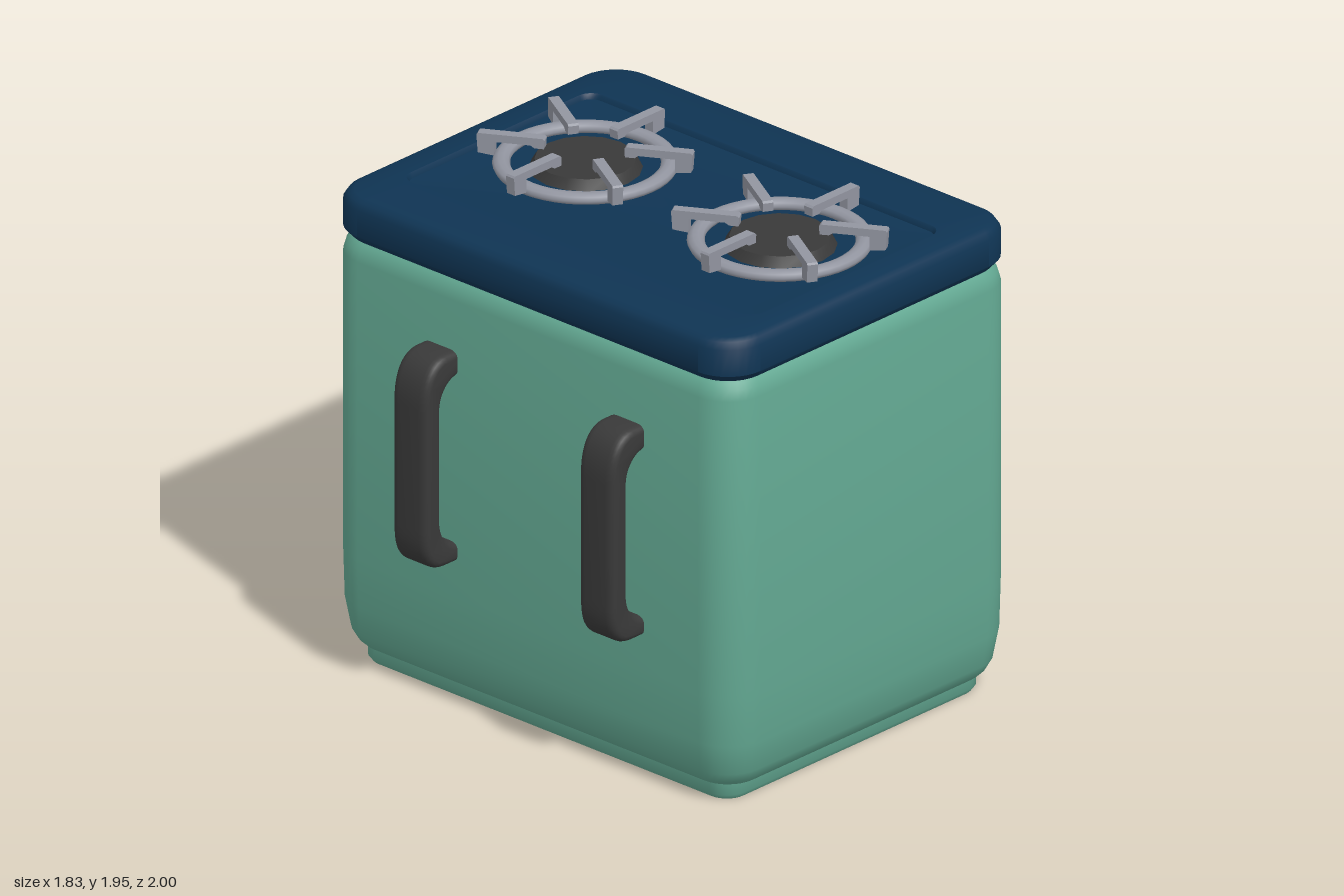
import * as THREE from 'three';
import { toCreasedNormals } from 'three/addons/utils/BufferGeometryUtils.js';

const paint = (name, color) => {
  const m = new THREE.MeshStandardMaterial({ color });
  m.name = name;
  return m;
};

// Closed loft through rounded rectangles; section = [y, halfX, halfZ, cornerRadius, centreX]
function loft(sections, steps = 8) {
  const pos = [], index = [], n = 4 * (steps + 1);
  for (const [y, hx, hz, r, cx = 0] of sections) {
    for (let c = 0; c < 4; c++) {
      const sx = c === 0 || c === 3 ? 1 : -1, sz = c < 2 ? 1 : -1;
      for (let s = 0; s <= steps; s++) {
        const a = (c + s / steps) * Math.PI / 2;
        pos.push(cx + sx * (hx - r) + r * Math.cos(a), y, sz * (hz - r) + r * Math.sin(a));
      }
    }
  }
  const last = sections.length - 1;
  for (let i = 0; i < last; i++) {
    for (let j = 0; j < n; j++) {
      const k = (j + 1) % n, a = i * n + j, b = i * n + k;
      index.push(a, a + n, b, b, a + n, b + n);
    }
  }
  const [s0, s1] = [sections[0], sections[last]];
  pos.push(s0[4] || 0, s0[0], 0, s1[4] || 0, s1[0], 0);
  const o = (last + 1) * n;
  for (let j = 0; j < n; j++) {
    const k = (j + 1) % n;
    index.push(o, j, k, o + 1, last * n + k, last * n + j);
  }
  const g = new THREE.BufferGeometry();
  g.setAttribute('position', new THREE.Float32BufferAttribute(pos, 3));
  g.setIndex(index);
  return toCreasedNormals(g, 0.7);
}

export function createModel() {
  const green = paint('green enamel', 0x62a791);
  const navy = paint('navy enamel', 0x0f3453);
  const charcoal = paint('charcoal', 0x393939);
  const silver = paint('grate silver', 0x9295a0);
  const gold = paint('knob gold', 0xbb8f1a);
  const mauve = paint('spot mauve', 0x92868f);

  const model = new THREE.Group();
  model.name = 'stove';
  const add = (parent, name, geometry, material, x = 0, y = 0, z = 0) => {
    const m = new THREE.Mesh(geometry, material);
    m.name = name;
    m.position.set(x, y, z);
    parent.add(m);
    return m;
  };
  const inset = (y, d) => [y, 0.765 - d, 1 - d, 0.16 - d * 0.6, 0.015];

  // Body, with a stepped-in plinth
  add(model, 'body', loft([
    inset(0.07, 0.065), inset(0.09, 0.045), inset(0.13, 0.025), inset(0.25, 0.005),
    inset(0.45, 0), inset(1.63, 0), inset(1.67, 0.01), inset(1.69, 0.025), inset(1.71, 0.045),
  ]), green);
  add(model, 'plinth', loft([
    [0, 0.67, 0.9, 0.08, 0.015], [0.02, 0.685, 0.913, 0.09, 0.015], [0.09, 0.685, 0.913, 0.09, 0.015],
  ]), green);

  // Hob top with a shallow sunken tray
  add(model, 'hobTop', loft([
    inset(1.70, 0.025), inset(1.73, 0), inset(1.835, 0), inset(1.86, 0.015), inset(1.87, 0.035),
    [1.87, 0.505, 0.87, 0.06, 0.012], [1.865, 0.5, 0.865, 0.055, 0.012],
    [1.85, 0.495, 0.86, 0.05, 0.012], [1.848, 0.48, 0.845, 0.04, 0.012],
  ]), navy);

  // Burners: cap, ring and six hooked pan supports
  const armShape = new THREE.Shape([
    [0.15, 1.912], [0.185, 1.912], [0.2, 1.922], [0.335, 1.922], [0.335, 1.868], [0.395, 1.875],
    [0.4, 1.945], [0.395, 1.952], [0.155, 1.952], [0.148, 1.945],
  ].map(([x, y]) => new THREE.Vector2(x, y)));
  const armGeo = new THREE.ExtrudeGeometry(armShape, { depth: 0.04, bevelEnabled: false });
  armGeo.translate(0, 0, -0.02);
  const capGeo = toCreasedNormals(new THREE.CylinderGeometry(0.185, 0.212, 0.045, 16), 0.6);
  const ringGeo = new THREE.TorusGeometry(0.305, 0.033, 10, 48);
  ringGeo.rotateX(Math.PI / 2).scale(1, 0.7, 1);
  for (const z of [-0.47, 0.49]) {
    const burner = new THREE.Group();
    burner.name = 'burner';
    burner.position.set(0.062, 0, z);
    model.add(burner);
    add(burner, 'burnerCap', capGeo, charcoal, 0, 1.863, 0);
    add(burner, 'grateRing', ringGeo, silver, 0, 1.868, 0);
    for (let i = 0; i < 6; i++) add(burner, 'grateArm', armGeo, silver).rotation.y = i * Math.PI / 3;
  }

  // Oven door
  const door = add(model, 'ovenDoor', loft([
    [0, 0.56, 0.775, 0.23], [0.05, 0.56, 0.775, 0.23],
    [0.07, 0.55, 0.765, 0.22], [0.083, 0.525, 0.74, 0.2],
  ], 12), green, 0.775, 0.81, 0.023);
  door.rotation.z = -Math.PI / 2;

  // Painted spot on the door
  const outline = [[-0.09, -0.03], [-0.06, -0.085], [0.01, -0.095], [0.065, -0.06], [0.08, 0.02],
    [0.085, 0.08], [0.02, 0.09], [-0.06, 0.06]].map(([x, y]) => new THREE.Vector2(x, y));
  const curve = new THREE.SplineCurve([...outline, outline[0]]);
  add(model, 'doorSpot', new THREE.ShapeGeometry(new THREE.Shape(curve.getPoints(40))), mauve, 0.861, 0.835, -0.52)
    .rotation.y = Math.PI / 2;

  // Knobs: domed disc with a tapering grip
  const discGeo = new THREE.LatheGeometry([
    [0.112, 0], [0.115, 0.03], [0.105, 0.05], [0.08, 0.063], [0, 0.068],
  ].map(([x, y]) => new THREE.Vector2(x, y)), 28);
  const gripGeo = loft([
    [0.03, 0.1, 0.045, 0.04], [0.08, 0.093, 0.036, 0.034], [0.11, 0.082, 0.02, 0.018],
    [0.133, 0.06, 0.01, 0.009],
  ], 5);
  for (const z of [-0.44, 0.505]) {
    const knob = new THREE.Group();
    knob.name = 'knob';
    knob.position.set(0.775, 1.53, z);
    knob.rotation.z = -Math.PI / 2;
    model.add(knob);
    add(knob, 'knobDisc', discGeo, gold);
    add(knob, 'knobGrip', gripGeo, gold);
  }

  // Handles: bent bars with softened edges
  const b = 0.025;
  const s = new THREE.Shape();
  s.moveTo(-0.73, 1.43 - b);
  s.lineTo(-0.8, 1.43 - b);
  s.bezierCurveTo(-0.86, 1.40, -0.92 + b, 1.34, -0.92 + b, 1.24);
  s.lineTo(-0.92 + b, 0.76);
  s.bezierCurveTo(-0.92 + b, 0.67, -0.88, 0.59 + b, -0.81, 0.59 + b);
  s.lineTo(-0.73, 0.59 + b);
  s.lineTo(-0.73, 0.665 - b);
  s.bezierCurveTo(-0.79, 0.665 - b, -0.83 - b, 0.69, -0.83 - b, 0.78);
  s.lineTo(-0.83 - b, 1.22);
  s.bezierCurveTo(-0.83 - b, 1.3, -0.8, 1.33 + b, -0.73, 1.33 + b);
  const handleGeo = toCreasedNormals(new THREE.ExtrudeGeometry(s, {
    depth: 0.1, bevelEnabled: true, bevelSize: b, bevelThickness: 0.035, bevelSegments: 4, curveSegments: 10,
  }), 0.7);
  handleGeo.translate(0, 0, -0.05);
  for (const z of [-0.43, 0.49]) add(model, 'handle', handleGeo, charcoal, 0, 0, z);

  return model;
}
